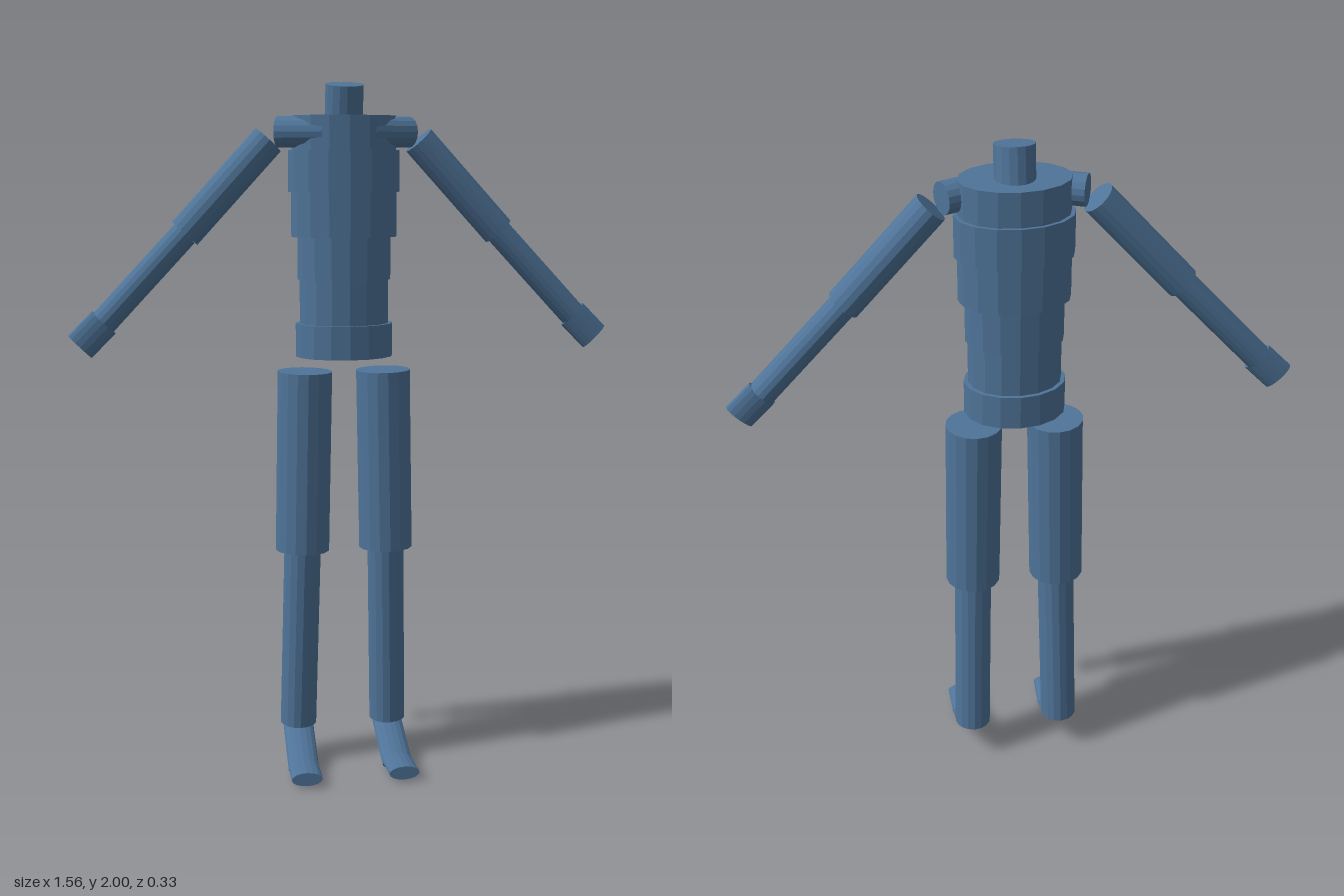
import * as THREE from 'three';

const blue = new THREE.MeshStandardMaterial({ color: 0x4f7499, flatShading: true });
blue.name = 'steel blue';

// Elliptic cylinder from a to b; rz is its radius towards the hint direction
function segment(name, a, b, rx, rz = rx, hint = [0, 0, 1]) {
  const start = new THREE.Vector3(...a);
  const end = new THREE.Vector3(...b);
  const geometry = new THREE.CylinderGeometry(1, 1, start.distanceTo(end), 16);
  geometry.scale(rx, 1, rz);
  const y = end.clone().sub(start).normalize();
  const x = y.clone().cross(new THREE.Vector3(...hint)).normalize();
  const z = x.clone().cross(y);
  geometry.applyMatrix4(new THREE.Matrix4().makeBasis(x, y, z));
  const mesh = new THREE.Mesh(geometry, blue);
  mesh.name = name;
  mesh.position.copy(start).add(end).multiplyScalar(0.5);
  return mesh;
}

export function createModel() {
  const model = new THREE.Group();
  model.name = 'jointedFigure';

  // Torso: stacked oval drums [name, bottom, top, half width, half depth]
  const torso = new THREE.Group();
  torso.name = 'torso';
  const drums = [
    ['hips', 1.23, 1.325, 0.14, 0.111],
    ['waist', 1.325, 1.45, 0.128, 0.1],
    ['belly', 1.45, 1.57, 0.134, 0.101],
    ['ribs', 1.57, 1.695, 0.151, 0.108],
    ['chest', 1.695, 1.81, 0.159, 0.113],
    ['upperChest', 1.81, 1.905, 0.148, 0.104],
  ];
  for (const [name, y0, y1, rx, rz] of drums) {
    torso.add(segment(name, [0, y0, -0.05], [0, y1, -0.05], rx, rz));
  }
  torso.add(segment('neck', [0, 1.895, -0.056], [0, 1.99, -0.04], 0.054));
  model.add(torso);

  // Arms and legs, mirrored
  for (const [side, s] of [['left', 1], ['right', -1]]) {
    const arm = new THREE.Group();
    arm.name = side + 'Arm';
    const elbow = [s * 0.45, 1.582, -0.053];
    const wrist = [s * 0.68, 1.338, -0.053];
    arm.add(
      segment('shoulder', [s * 0.06, 1.86, 0], [s * 0.187, 1.86, -0.053], 0.043),
      segment('upperArm', [s * 0.214, 1.838, -0.053], elbow, 0.047),
      segment('forearm', elbow, wrist, 0.038),
      segment('hand', wrist, [s * 0.748, 1.27, -0.053], 0.045, 0.019),
    );

    const leg = new THREE.Group();
    leg.name = side + 'Leg';
    const knee = [s * 0.124, 0.66, -0.05];
    const ankle = [s * 0.136, 0.116, -0.076];
    const ball = [s * 0.14, 0.022, 0.072];
    leg.add(
      segment('thigh', [s * 0.114, 1.187, -0.05], knee, 0.079),
      segment('shin', knee, ankle, 0.054),
      segment('foot', [s * 0.136, 0.103, -0.077], ball, 0.045, 0.021, [0, 1, 0]),
      segment('toes', [s * 0.14, 0.031, 0.06], [s * 0.143, 0.031, 0.164], 0.045, 0.02, [0, 1, 0]),
    );
    model.add(arm, leg);
  }
  return model;
}
